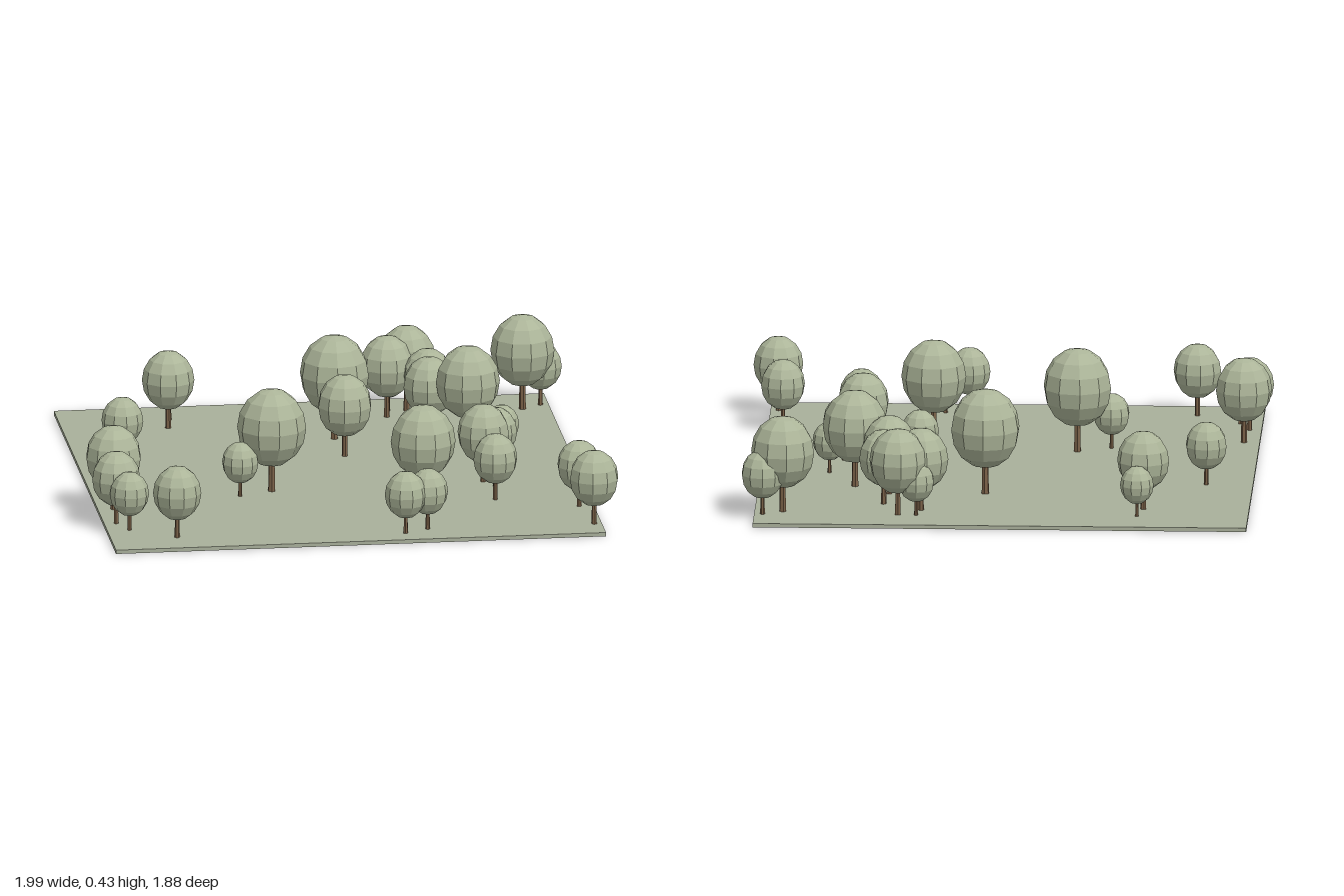
import * as THREE from 'three';

// Each tree: x, z, crown radius
const TREES = [
  [-0.53, -0.775, 0.064], [-0.55, -0.665, 0.1], [-0.775, -0.275, 0.08],
  [0.06, -0.445, 0.134], [0.07, -0.21, 0.105], [0.325, -0.03, 0.072],
  [0.295, -0.71, 0.105], [0.38, -0.785, 0.11], [0.31, -0.79, 0.07],
  [0.44, -0.62, 0.095], [0.425, -0.46, 0.1], [0.56, -0.35, 0.123],
  [0.665, -0.145, 0.065], [0.617, 0.05, 0.081], [0.55, 0.195, 0.1],
  [0.585, 0.27, 0.063], [0.565, 0.44, 0.085], [0.29, 0.425, 0.124],
  [0.82, -0.75, 0.122], [0.895, -0.795, 0.082], [0.87, 0.57, 0.085],
  [0.897, 0.81, 0.095], [0.26, 0.8, 0.078], [0.17, 0.845, 0.08],
  [-0.265, 0.22, 0.132], [-0.393, 0.275, 0.07], [-0.893, 0.385, 0.108],
  [-0.907, 0.575, 0.093], [-0.868, 0.67, 0.075], [-0.7, 0.79, 0.092],
];

export function createModel() {
  const model = new THREE.Group();
  model.name = 'grove';

  const grass = new THREE.MeshStandardMaterial({ color: 0xa9b09b });
  grass.name = 'grass';
  const foliage = new THREE.MeshStandardMaterial({ color: 0xacb599, flatShading: true });
  foliage.name = 'foliage';
  const bark = new THREE.MeshStandardMaterial({ color: 0x7a6148, flatShading: true });
  bark.name = 'bark';

  // Thin square of ground
  const ground = new THREE.Mesh(new THREE.BoxGeometry(1.88, 0.015, 1.88), grass);
  ground.name = 'ground';
  ground.position.set(-0.013, 0.0075, -0.006);
  model.add(ground);

  // Unit tree parts: crown radius 1, slightly taller than wide
  const crownGeo = new THREE.SphereGeometry(1, 10, 8).scale(1, 1.15, 1).translate(0, 1.91, 0);
  const trunkGeo = new THREE.CylinderGeometry(0.085, 0.11, 1.2, 6).translate(0, 0.6, 0);

  TREES.forEach(([x, z, r], i) => {
    const tree = new THREE.Group();
    tree.name = `tree${i + 1}`;
    const crown = new THREE.Mesh(crownGeo, foliage);
    crown.name = 'crown';
    const trunk = new THREE.Mesh(trunkGeo, bark);
    trunk.name = 'trunk';
    tree.add(crown, trunk);
    tree.position.set(x, 0.015, z);
    tree.scale.setScalar(r);
    tree.rotation.y = i * 2.4;
    model.add(tree);
  });

  return model;
}
